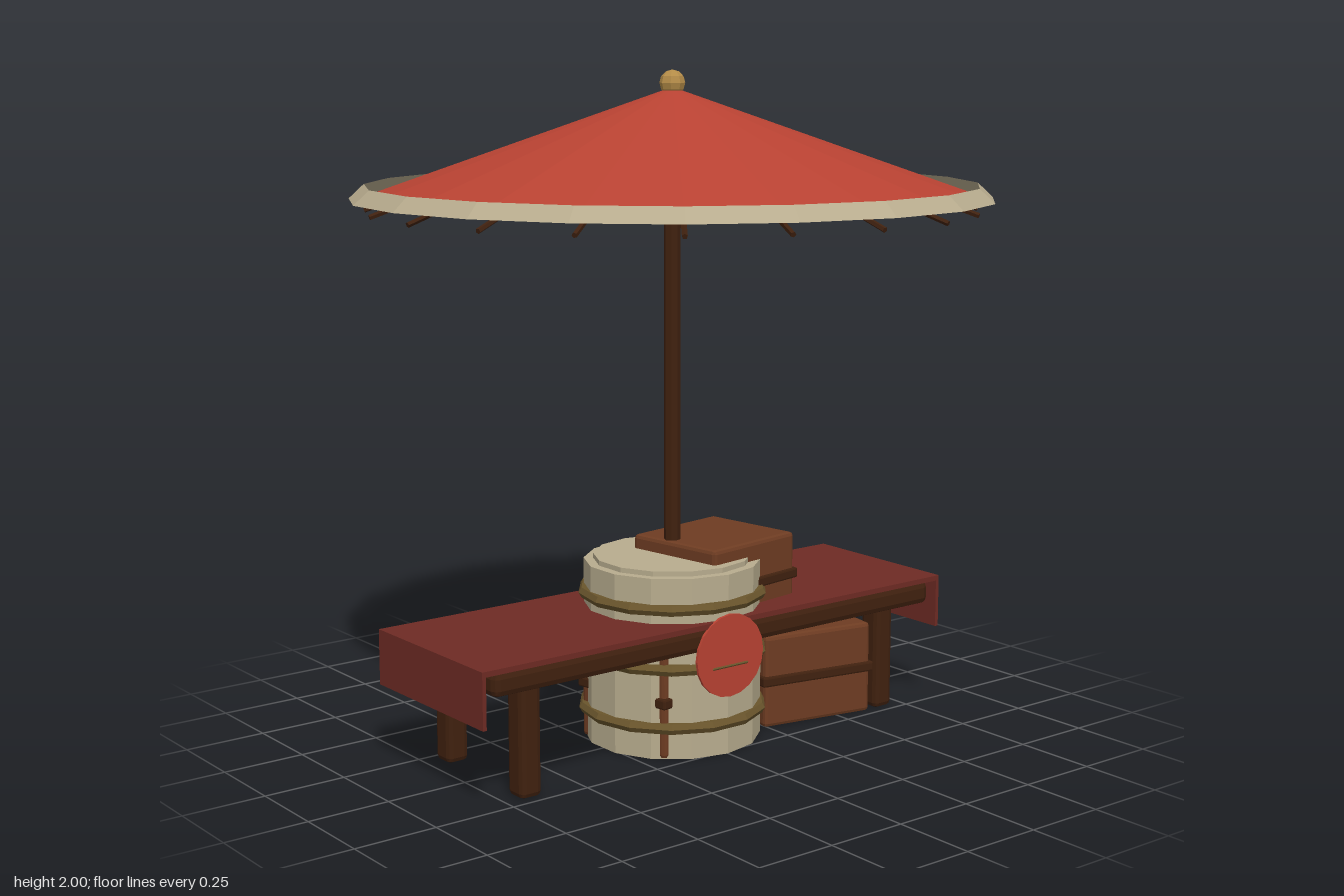
import * as THREE from 'three';
import { RoundedBoxGeometry } from 'three/addons/geometries/RoundedBoxGeometry.js';

const mat = (name, color, extra = {}) => {
  const m = new THREE.MeshStandardMaterial({ color, flatShading: true, ...extra });
  m.name = name;
  return m;
};

export function createModel() {
  const model = new THREE.Group();
  model.name = 'marketStall';

  const red = mat('canopyRed', 0xb84232, { side: THREE.DoubleSide });
  const clothRed = mat('clothRed', 0x6e2b24);
  const cream = mat('cream', 0xb8ac8e, { side: THREE.DoubleSide });
  const darkWood = mat('darkWood', 0x40210f);
  const crateWood = mat('crateWood', 0x6e3c22);
  const hoopMetal = mat('agedBrass', 0x6a552c);
  const gold = mat('gold', 0xb48c48);

  const add = (name, geometry, material, x = 0, y = 0, z = 0, parent = model) => {
    const mesh = new THREE.Mesh(geometry, material);
    mesh.name = name;
    mesh.position.set(x, y, z);
    parent.add(mesh);
    return mesh;
  };

  // Parasol: pole, canopy, flared hem and finial
  add('pole', new THREE.CylinderGeometry(0.025, 0.025, 1.92, 8), darkWood, 0, 0.965, 0);
  add('canopy', new THREE.ConeGeometry(0.9, 0.315, 20, 1, true), red, 0, 1.7925, 0);
  add('canopyHem', new THREE.CylinderGeometry(0.9, 0.945, 0.042, 20, 1, true), cream, 0, 1.65, 0);
  add('finial', new THREE.SphereGeometry(0.038, 8, 6), gold, 0, 1.962, 0);

  // Ribs fan out under the canopy
  const up = new THREE.Vector3(0, 1, 0);
  for (let i = 0; i < 20; i++) {
    const a = (i * Math.PI) / 10;
    const from = new THREE.Vector3(0.02 * Math.sin(a), 1.9, 0.02 * Math.cos(a));
    const to = new THREE.Vector3(0.9 * Math.sin(a), 1.595, 0.9 * Math.cos(a));
    const dir = to.clone().sub(from);
    const rib = add('canopyRib', new THREE.CylinderGeometry(0.008, 0.008, dir.length(), 5), darkWood);
    rib.position.copy(from).add(to).multiplyScalar(0.5);
    rib.quaternion.setFromUnitVectors(up, dir.normalize());
  }

  // Barrel with lid and hoops
  add('barrel', new THREE.CylinderGeometry(0.268, 0.268, 0.545, 14), cream, 0, 0.2725, 0);
  add('barrelLid', new THREE.CylinderGeometry(0.24, 0.24, 0.03, 14), cream, 0, 0.545, 0);
  for (const y of [0.095, 0.272, 0.452]) {
    const hoop = add('barrelHoop', new THREE.TorusGeometry(0.27, 0.018, 6, 14), hoopMetal, 0, y, 0);
    hoop.rotation.x = Math.PI / 2;
  }

  // Table: plank, legs and cloth with hanging ends
  add('tablePlank', new RoundedBoxGeometry(1.64, 0.073, 0.54, 1, 0.02), darkWood, 0, 0.3605, 0);
  add('tableCloth', new THREE.BoxGeometry(1.72, 0.016, 0.546), clothRed, 0, 0.402, 0);
  for (const sx of [-1, 1]) {
    add('clothDrop', new THREE.BoxGeometry(0.012, 0.165, 0.546), clothRed, sx * 0.855, 0.3275, 0);
    for (const sz of [-1, 1]) {
      add('tableLeg', new RoundedBoxGeometry(0.07, 0.335, 0.075, 1, 0.016), darkWood, sx * 0.672, 0.1675, sz * 0.19);
    }
  }

  // Round red plaque on the front edge
  const plaque = add('frontPlaque', new THREE.CylinderGeometry(0.125, 0.125, 0.009, 20), red, 0, 0.303, 0.274);
  plaque.rotation.x = Math.PI / 2;

  // Strapped crates: on the table, under it, and behind the barrel staves
  const crate = (x, z, y0, y1, w, d, turn, strapY) => {
    const g = new THREE.Group();
    g.name = 'crate';
    g.position.set(x, 0, z);
    g.rotation.y = turn;
    add('crateBox', new RoundedBoxGeometry(w, y1 - y0, d, 1, 0.012), crateWood, 0, (y0 + y1) / 2, 0, g);
    add('crateStrap', new RoundedBoxGeometry(w + 0.018, 0.032, d + 0.018, 1, 0.006), darkWood, 0, strapY, 0, g);
    model.add(g);
  };
  crate(0.15, 0.015, 0.385, 0.603, 0.36, 0.335, 0.15, 0.475);
  crate(0.45, 0.045, 0, 0.288, 0.38, 0.3, -0.18, 0.147);
  crate(-0.01, 0, 0, 0.34, 0.41, 0.345, 0.15, 0.17);

  return model;
}
